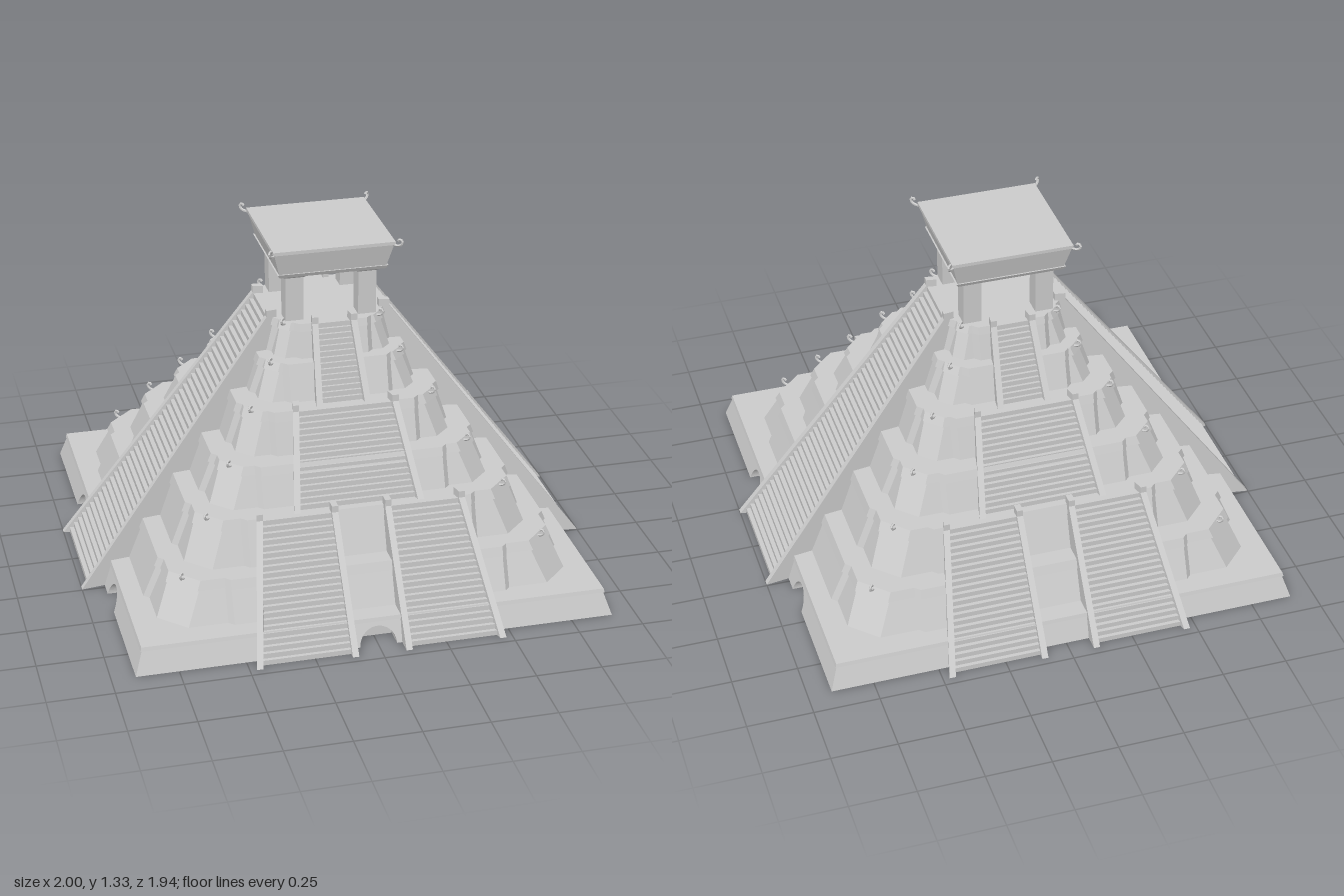
import * as THREE from 'three';

const material = new THREE.MeshStandardMaterial({ color: 0xcccccc, flatShading: true });

function add(parent, name, geometry) {
  const mesh = new THREE.Mesh(geometry, material);
  mesh.name = name;
  parent.add(mesh);
  return mesh;
}

// Square block with sloping sides; half-widths at bottom and top
function frustum(parent, name, bottom, top, y0, y1, x = 0, z = 0) {
  const g = new THREE.CylinderGeometry(top * Math.SQRT2, bottom * Math.SQRT2, y1 - y0, 4);
  g.rotateY(Math.PI / 4);
  g.translate(x, (y0 + y1) / 2, z);
  return add(parent, name, g);
}

// Plan of a terrace: cut corners and a projecting middle on each side
function terracePlan(h, cut, mid, out) {
  const quarter = [[h + out, mid], [h, mid + out], [h, h - cut], [h - cut, h], [mid + out, h], [mid, h + out]];
  const plan = [];
  for (let k = 0; k < 4; k++) {
    for (const [x, z] of quarter) {
      plan.push([[x, z], [-z, x], [-x, -z], [z, -x]][k]);
    }
  }
  return plan;
}

// Loft closed plans stacked at given heights, capped on top
function loft(levels) {
  const pos = [];
  const n = levels[0].plan.length;
  const point = (l, i) => {
    const [x, z] = l.plan[i % n];
    return [x, l.y, z];
  };
  for (let k = 0; k < levels.length - 1; k++) {
    const lo = levels[k], hi = levels[k + 1];
    for (let i = 0; i < n; i++) {
      const a = point(lo, i), b = point(lo, i + 1), c = point(hi, i + 1), d = point(hi, i);
      pos.push(...a, ...d, ...b, ...b, ...d, ...c);
    }
  }
  const top = levels[levels.length - 1];
  for (let i = 0; i < n; i++) pos.push(0, top.y, 0, ...point(top, i + 1), ...point(top, i));
  const g = new THREE.BufferGeometry();
  g.setAttribute('position', new THREE.Float32BufferAttribute(pos, 3));
  g.computeVertexNormals();
  return g;
}

// Side profile (z, y) spread across x between two edges that may taper along z
function taperedProfile(points, left, right) {
  const shape = new THREE.Shape(points.map(([z, y]) => new THREE.Vector2(z, y)));
  const g = new THREE.ExtrudeGeometry(shape, { depth: 1, bevelEnabled: false });
  const p = g.attributes.position;
  for (let i = 0; i < p.count; i++) {
    const z = p.getX(i), u = p.getZ(i);
    p.setXYZ(i, right(z) + (left(z) - right(z)) * u, p.getY(i), z);
  }
  g.computeVertexNormals();
  return g;
}

// Flight from (z0, y0) up to (z1, y1); left and right edges are [bottom x, top x]
function staircase(parent, { z0, y0, z1, y1, left, right, steps }) {
  const group = new THREE.Group();
  group.name = 'staircase';
  parent.add(group);
  const edge = ([a, b], shift = 0) => z => a + (b - a) * (z0 - z) / (z0 - z1) + shift;
  const w = 0.024, start = z0 - 0.025;

  const profile = [[start, y0]];
  for (let i = 0; i < steps; i++) {
    const y = y0 + (y1 - y0) * (i + 1) / steps;
    profile.push([start + (z1 - start) * i / steps, y], [start + (z1 - start) * (i + 1) / steps, y]);
  }
  profile.push([z1 - 0.02, y1], [z1 - 0.02, y0]);
  add(group, 'steps', taperedProfile(profile, edge(left, w / 2), edge(right, -w / 2)));

  // Side ramps ending in a small post
  const rail = [[z0, y0], [z1 + 0.02, y1 + 0.004], [z1 + 0.02, y1 + 0.03], [z1 - 0.02, y1 + 0.03], [z1 - 0.02, y0]];
  add(group, 'balustrade', taperedProfile(rail, edge(left), edge(left, w)));
  add(group, 'balustrade', taperedProfile(rail, edge(right, -w), edge(right)));
}

// Curled ornaments pointing outwards at the four corners
function cornerHooks(parent, r, y) {
  const curve = new THREE.CatmullRomCurve3(
    [[-0.015, -0.006], [0.012, -0.008], [0.03, -0.002], [0.036, 0.012], [0.026, 0.02], [0.018, 0.012]]
      .map(([x, v]) => new THREE.Vector3(x, v, 0)));
  const g = new THREE.TubeGeometry(curve, 10, 0.005, 5);
  for (let k = 0; k < 4; k++) {
    const a = Math.PI / 4 + k * Math.PI / 2;
    const hook = add(parent, 'cornerHook', g);
    hook.position.set(r * Math.SQRT2 * Math.cos(a), y, r * Math.SQRT2 * Math.sin(a));
    hook.rotation.y = -a;
  }
}

// Sloping, mitred wall of the base with arched openings
function baseWall(parent, angle, arches) {
  const r = 0.07, H = 0.09;
  const shape = new THREE.Shape();
  shape.moveTo(-0.91, 0);
  for (const c of arches) {
    shape.lineTo(c - r, 0);
    shape.absarc(c, 0, r, Math.PI, 0, true);
  }
  shape.lineTo(0.91, 0);
  shape.lineTo(0.91, H);
  shape.lineTo(-0.91, H);
  const g = new THREE.ExtrudeGeometry(shape, { depth: 1, bevelEnabled: false, curveSegments: 14 });
  const p = g.attributes.position;
  for (let i = 0; i < p.count; i++) {
    const x = p.getX(i), y = p.getY(i), d = p.getZ(i);
    const z = 0.83 + d * (0.08 - 0.03 * y / H);
    p.setXYZ(i, Math.abs(x) > 0.9 ? Math.sign(x) * z : x, y, z);
  }
  g.computeVertexNormals();
  add(parent, 'baseWall', g).rotation.y = angle;
}

export function createModel() {
  const model = new THREE.Group();
  model.name = 'steppedPyramid';

  // Base
  const base = new THREE.Group();
  base.name = 'base';
  model.add(base);
  frustum(base, 'baseCore', 0.835, 0.835, 0, 0.09);
  frustum(base, 'baseRim', 0.886, 0.882, 0.088, 0.103);
  baseWall(base, 0, [0]);
  baseWall(base, Math.PI, []);
  baseWall(base, Math.PI / 2, [-0.37, 0.37]);
  baseWall(base, -Math.PI / 2, [-0.37, 0.37]);

  // Terraces: bottom, top, half-width at top, slope, corner cut, half-width of middle
  const terraces = [
    [0.10, 0.26, 0.725, 0.065, 0.10, 0.52],
    [0.26, 0.43, 0.600, 0.060, 0.09, 0.43],
    [0.43, 0.58, 0.482, 0.055, 0.075, 0.35],
    [0.58, 0.74, 0.365, 0.050, 0.06, 0.27],
    [0.74, 0.88, 0.258, 0.045, 0.045, 0.19],
    [0.88, 1.01, 0.190, 0.035, 0.035, 0.13],
  ];
  for (const [y0, y1, h, slope, cut, mid] of terraces) {
    const rows = [[0, slope], [0.78, slope * 0.18], [0.78, slope * 0.18 + 0.008], [1, 0.005]];
    add(model, 'terrace', loft(rows.map(([t, d]) => ({
      y: y0 + (y1 - y0) * t,
      plan: terracePlan(h + d, cut, mid, 0.02),
    }))));
    cornerHooks(model, h - cut / 2, y1);
  }

  // Front and back: two lower flights, then one middle and one upper flight
  for (const angle of [0, Math.PI]) {
    const side = new THREE.Group();
    side.name = angle ? 'backStairs' : 'frontStairs';
    side.rotation.y = angle;
    model.add(side);
    const lower = { z0: 0.97, y0: 0, z1: 0.63, y1: 0.43, steps: 22 };
    staircase(side, { ...lower, left: [-0.475, -0.395], right: [-0.09, -0.09] });
    staircase(side, { ...lower, left: [0.09, 0.09], right: [0.475, 0.395] });
    staircase(side, { z0: 0.62, y0: 0.43, z1: 0.39, y1: 0.74, left: [-0.25, -0.2], right: [0.25, 0.2], steps: 16 });
    staircase(side, { z0: 0.38, y0: 0.74, z1: 0.215, y1: 1.01, left: [-0.105, -0.085], right: [0.105, 0.085], steps: 14 });
  }

  // Left and right: one long tapering flight each
  for (const s of [1, -1]) {
    const side = new THREE.Group();
    side.name = s > 0 ? 'leftStairs' : 'rightStairs';
    side.rotation.y = s * Math.PI / 2;
    model.add(side);
    staircase(side, { z0: 1, y0: 0, z1: 0.22, y1: 1.01, left: [-0.245, -0.13], right: [0.245, 0.13], steps: 46 });
  }

  // Temple: four pillars under a flared roof
  const temple = new THREE.Group();
  temple.name = 'temple';
  model.add(temple);
  for (const x of [-0.141, 0.141]) {
    for (const z of [-0.141, 0.141]) {
      frustum(temple, 'pillar', 0.035, 0.035, 1.0, 1.2, x, z);
      frustum(temple, 'capital', 0.037, 0.058, 1.185, 1.203, x, z);
    }
  }
  frustum(temple, 'roofSill', 0.205, 0.213, 1.2, 1.215);
  frustum(temple, 'roof', 0.207, 0.23, 1.215, 1.305);
  frustum(temple, 'roofCap', 0.234, 0.234, 1.303, 1.316);
  cornerHooks(temple, 0.229, 1.31);

  return model;
}
